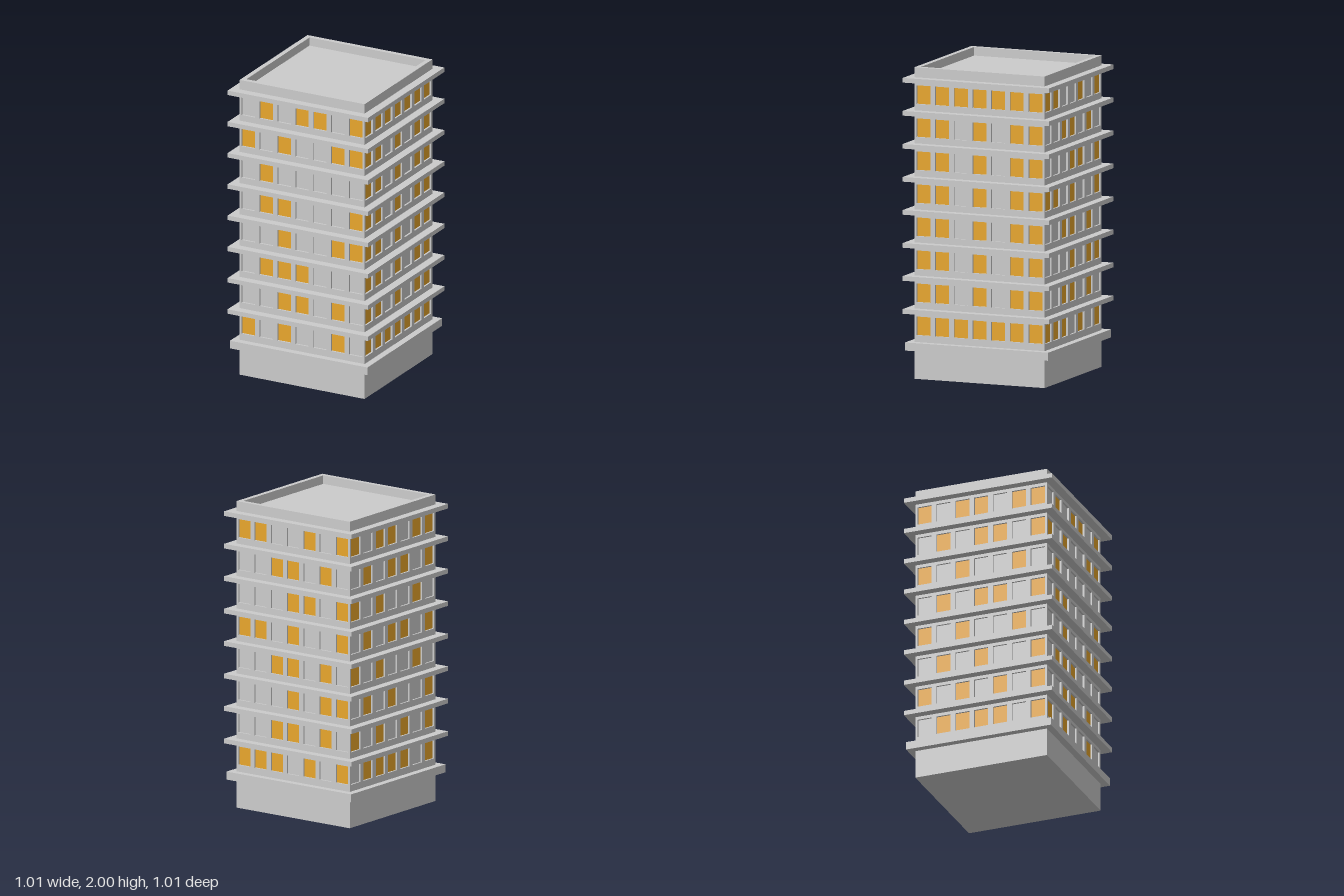
import * as THREE from 'three';

const HALF = 0.45, RECESS = 0.012, FLOORS = 8, COLS = 7;
const PITCH_X = 0.129, PITCH_Y = 0.212, WIN_W = 0.096, WIN_H = 0.12;
const WALL_LOW = 0.21, WALL_TOP = 1.92;

// Lit windows of each side, lowest floor first, read left to right from outside
const LIT = {
  front: ['1010010', '0011010', '0111000', '0010011', '0110001', '0100000', '1010011', '0101101'],
  right: ['1111111', '1101011', '1101011', '1101011', '1101011', '1101011', '1101011', '1111111'],
  back: ['1110101', '0011010', '0001011', '0011010', '1101001', '0001101', '0011010', '1100101'],
  left: ['0111101', '1010101', '0101001', '1010010', '0101101', '1010010', '0101101', '1011011'],
};

const grey = new THREE.MeshStandardMaterial({ color: 0xcccccc });
const amber = new THREE.MeshStandardMaterial({ color: 0xe8a62c });

function addMesh(parent, name, geometry, material = grey) {
  const mesh = new THREE.Mesh(geometry, material);
  mesh.name = name;
  parent.add(mesh);
  return mesh;
}

function addBlock(parent, name, half, low, high) {
  const mesh = addMesh(parent, name, new THREE.BoxGeometry(half * 2, high - low, half * 2));
  mesh.position.y = (low + high) / 2;
}

function rect(Type, x0, y0, x1, y1) {
  return new Type([
    new THREE.Vector2(x0, y0), new THREE.Vector2(x1, y0),
    new THREE.Vector2(x1, y1), new THREE.Vector2(x0, y1),
  ]);
}

// One side of the tower: a pierced wall with recessed panes behind it
function makeFacade(name, lit, halfWidth) {
  const facade = new THREE.Group();
  facade.name = name + 'Facade';
  const wall = rect(THREE.Shape, -halfWidth, WALL_LOW, halfWidth, WALL_TOP);
  const paneGeometry = new THREE.PlaneGeometry(WIN_W, WIN_H);

  for (let floor = 0; floor < FLOORS; floor++) {
    for (let col = 0; col < COLS; col++) {
      const x = (col - (COLS - 1) / 2) * PITCH_X;
      const y = 0.341 + floor * PITCH_Y;
      wall.holes.push(rect(THREE.Path, x - WIN_W / 2, y - WIN_H / 2, x + WIN_W / 2, y + WIN_H / 2));
      const on = lit[floor][col] === '1';
      const pane = addMesh(facade, on ? 'litWindow' : 'darkWindow', paneGeometry, on ? amber : grey);
      pane.position.set(x, y, HALF - RECESS);
    }
  }

  const geometry = new THREE.ExtrudeGeometry(wall, { depth: RECESS, bevelEnabled: false });
  addMesh(facade, name + 'Wall', geometry).position.z = HALF - RECESS;
  return facade;
}

export function createModel() {
  const tower = new THREE.Group();
  tower.name = 'apartmentTower';

  // Plinth and the thicker ledge above it
  addBlock(tower, 'plinth', HALF, 0, WALL_LOW);
  addBlock(tower, 'plinthLedge', 0.495, 0.185, 0.237);

  // Solid core behind the panes, its top being the sunken roof
  addBlock(tower, 'core', HALF - RECESS - 0.004, WALL_LOW, 1.945);

  // Four window walls; the side walls fit between front and back
  Object.entries(LIT).forEach(([name, lit], i) => {
    const facade = makeFacade(name, lit, i % 2 ? HALF - RECESS : HALF);
    facade.rotation.y = i * Math.PI / 2;
    tower.add(facade);
  });

  // Projecting slab above every floor
  for (let floor = 0; floor < FLOORS; floor++) {
    const y = 0.437 + floor * PITCH_Y;
    addBlock(tower, 'floorSlab', 0.506, y - 0.015, y + 0.015);
  }

  // Parapet around the roof
  const rim = rect(THREE.Shape, -HALF, -HALF, HALF, HALF);
  rim.holes.push(rect(THREE.Path, -0.418, -0.418, 0.418, 0.418));
  const parapet = addMesh(tower, 'parapet',
    new THREE.ExtrudeGeometry(rim, { depth: 2 - WALL_TOP, bevelEnabled: false }));
  parapet.rotation.x = -Math.PI / 2;
  parapet.position.y = WALL_TOP;

  return tower;
}
